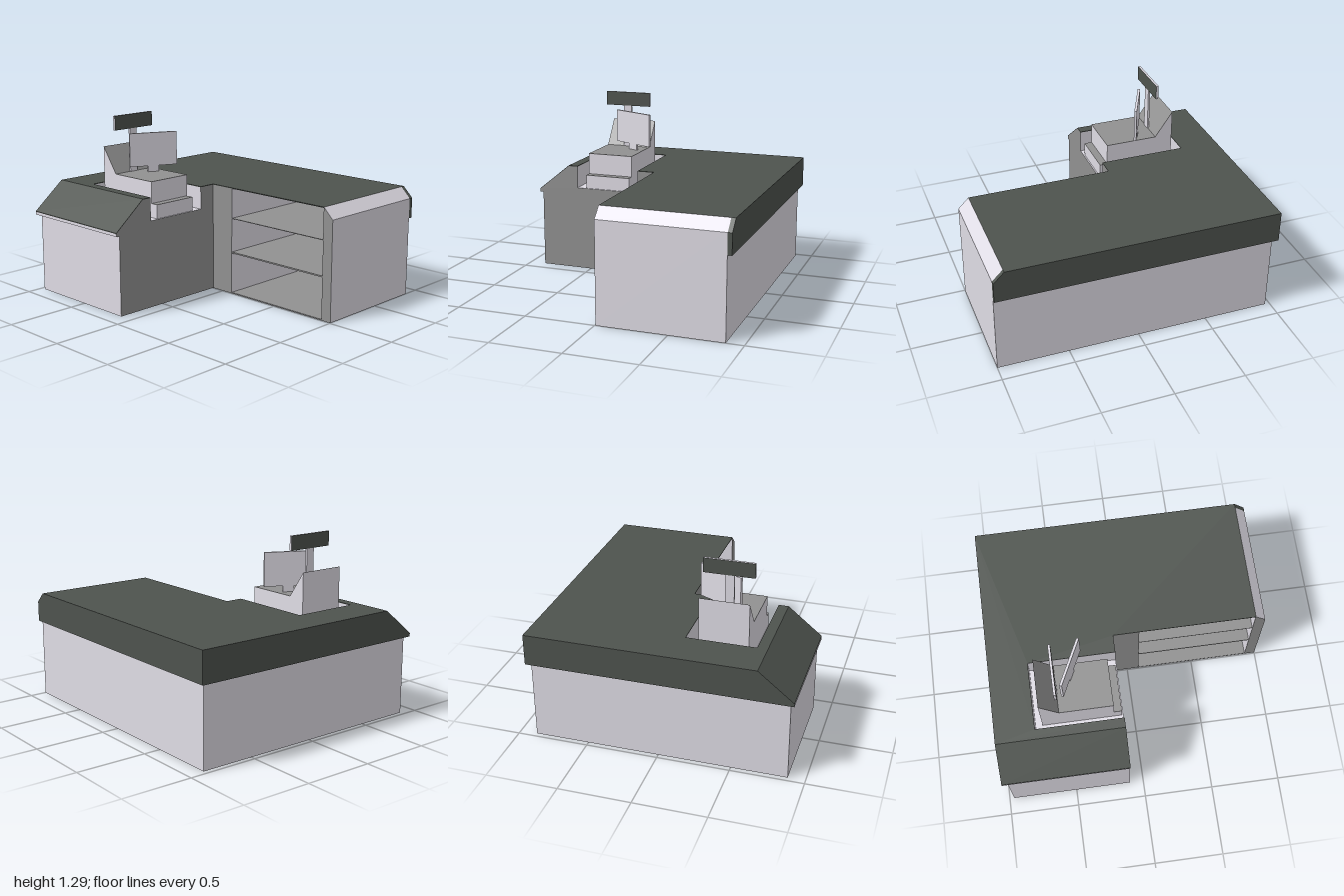
import * as THREE from 'three';

const material = (name, color) => {
  const m = new THREE.MeshStandardMaterial({ color });
  m.name = name;
  return m;
};

export function createModel() {
  const light = material('pale panel', 0xdfdce5);
  const grey = material('grey panel', 0x919191);
  const green = material('dark green worktop', 0x4e534e);
  const model = new THREE.Group();
  model.name = 'cornerCounter';

  const add = (name, geometry, mat, parent = model) => {
    const mesh = new THREE.Mesh(geometry, mat);
    mesh.name = name;
    parent.add(mesh);
    return mesh;
  };
  const shapeOf = (pts) => new THREE.Shape(pts.map(([a, b]) => new THREE.Vector2(a, b)));
  const extrude = (shape, depth) => new THREE.ExtrudeGeometry(shape, { depth, bevelEnabled: false });
  // Profile in (x, y), running along z
  const alongZ = (pts, z0, z1) => extrude(shapeOf(pts), z1 - z0).translate(0, 0, z0);
  // Profile in (z, y), running along x
  const alongX = (pts, x0, x1) => extrude(shapeOf(pts), x1 - x0).rotateY(-Math.PI / 2).translate(x1, 0, 0);
  // Plan in (x, z), running along y
  const alongY = (pts, y0, y1) =>
    extrude(shapeOf(pts.map(([x, z]) => [x, -z])), y1 - y0).rotateX(-Math.PI / 2).translate(0, y0, 0);
  const box = (x0, x1, y0, y1, z0, z1) =>
    new THREE.BoxGeometry(x1 - x0, y1 - y0, z1 - z0).translate((x0 + x1) / 2, (y0 + y1) / 2, (z0 + z1) / 2);

  // Long back wing with chamfered end and open shelf bay
  const endProfile = (x0) => [[x0, 0], [1, 0], [1, 0.71], [0.925, 0.785], [0.92, 0.78], [x0, 0.78]];
  const wing = shapeOf(endProfile(-0.1));
  wing.holes.push(new THREE.Path(
    [[0.087, 0.004], [0.087, 0.779], [0.923, 0.779], [0.923, 0.004]].map(([x, y]) => new THREE.Vector2(x, y))));
  add('backWing', extrude(wing, 0.854).translate(0, 0, -0.86), [grey, light]);
  add('backPanel', alongZ(endProfile(-0.967), -0.88, -0.86), light);
  [[0.002, 0.007], [0.302, 0.312], [0.558, 0.562]].forEach(([y0, y1], i) =>
    add(`shelf${i + 1}`, box(0.087, 0.923, y0, y1, -0.86, -0.008), grey));

  // Short front wing, with a notch for the till on its inner half
  const front = [[-0.86, 0], [0.883, 0], [0.883, 0.565], [0.91, 0.565], [0.91, 0.585], [0.67, 0.78]];
  const notch = [[0.6, 0.78], [0.6, 0.62], [0.12, 0.62], [0.12, 0.78]];
  const rear = [[-0.86, 0.78]];
  add('frontWingOuter', alongX([...front, ...rear], -0.967, -0.72), light);
  add('frontWingInner', alongX([...front, ...notch, ...rear], -0.72, -0.1), [grey, light]);

  // Worktop, sloped front and hanging trim
  add('worktop', alongY([[-1, -0.91], [0.925, -0.91], [0.925, -0.006], [-0.1, -0.006], [-0.1, 0.12],
    [-0.72, 0.12], [-0.72, 0.6], [-0.1, 0.6], [-0.1, 0.67], [-1, 0.67]], 0.78, 0.785), green);
  add('frontSlope', alongX([[0.67, 0.78], [0.91, 0.585], [0.91, 0.59], [0.67, 0.785]], -1, -0.1), green);
  add('sideTrim', alongX([[-0.88, 0.565], [0.91, 0.565], [0.91, 0.585], [0.67, 0.78], [-0.88, 0.78]],
    -1, -0.967), [green, light]);
  add('backTrim', alongZ([[-1, 0.567], [1, 0.567], [1, 0.71], [0.925, 0.785], [-1, 0.785]], -0.91, -0.88), green);
  add('backTrimSoffit', box(-1, 1, 0.565, 0.567, -0.91, -0.88), light);

  // Till with grey top skin and drawer
  const till = new THREE.Group();
  till.name = 'till';
  model.add(till);
  add('tillBody', alongZ([[-0.67, 0.62], [-0.165, 0.62], [-0.165, 0.872], [-0.542, 0.872], [-0.67, 1.055]],
    0.193, 0.533), light, till);
  add('tillTop', alongZ([[-0.67, 1.055], [-0.542, 0.872], [-0.165, 0.872], [-0.165, 0.874],
    [-0.541, 0.874], [-0.67, 1.058]], 0.193, 0.533), grey, till);
  add('drawer', box(-0.165, -0.11, 0.62, 0.718, 0.193, 0.533), light, till);
  add('drawerTop', box(-0.165, -0.11, 0.718, 0.72, 0.193, 0.533), grey, till);

  // Angled screen on a short stem
  const screen = new THREE.Group();
  screen.name = 'screen';
  screen.position.set(-0.427, 0, 0.278);
  screen.rotation.y = -0.45;
  till.add(screen);
  add('screenPanel', box(-0.009, 0.009, 0.917, 1.158, -0.176, 0.174), light, screen);
  add('screenStem', box(-0.009, 0.009, 0.874, 0.917, -0.04, 0.04), light, screen);

  // Customer display on a pole, green on both broad faces
  add('displayPole', box(-0.55, -0.536, 0.874, 1.188, 0.335, 0.398), light, till);
  add('customerDisplay', box(-0.552, -0.535, 1.188, 1.291, 0.188, 0.537),
    [green, green, light, light, light, light], till);

  return model;
}
